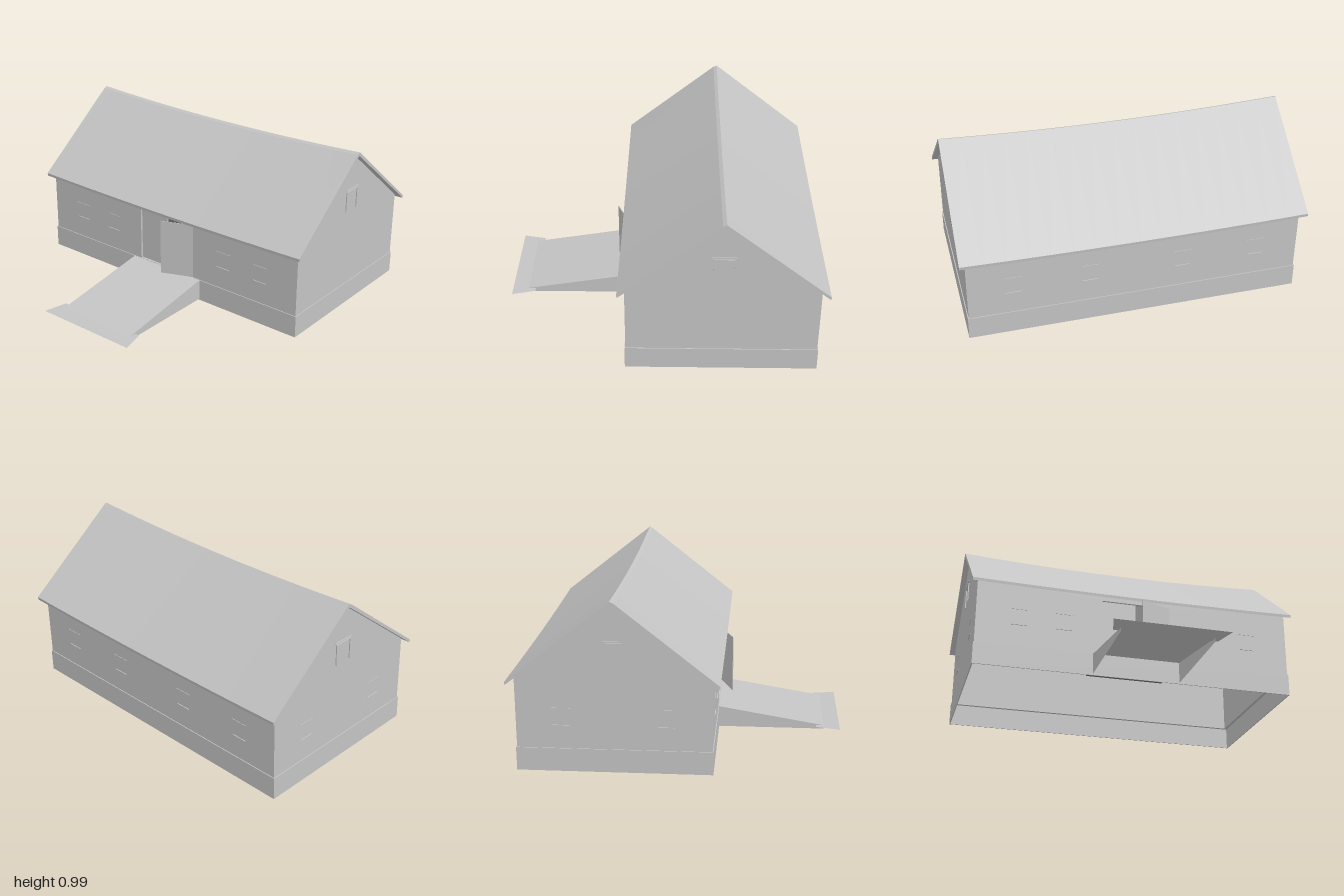
import * as THREE from 'three';
import { toCreasedNormals } from 'three/addons/utils/BufferGeometryUtils.js';

const HALF_X = 0.966, HALF_Z = 0.541, MID_Z = -0.346; // wall footprint
const BASE_Y = 0.135, EAVE_Y = 0.537, WALL = 0.02;

export function createModel() {
  const model = new THREE.Group();
  model.name = 'farmhouse';
  const grey = new THREE.MeshStandardMaterial({ color: 0xc4c4c4, side: THREE.DoubleSide });
  grey.name = 'light grey';
  const dark = new THREE.MeshStandardMaterial({ color: 0x787878, side: THREE.DoubleSide });
  dark.name = 'dark grey';

  function add(geometry, name, parent = model, material = grey) {
    const mesh = new THREE.Mesh(geometry, material);
    mesh.name = name;
    parent.add(mesh);
    return mesh;
  }

  function box(name, w, h, d, x, y, z, parent = model, material = grey) {
    const mesh = add(new THREE.BoxGeometry(w, h, d), name, parent, material);
    mesh.position.set(x, y, z);
    return mesh;
  }

  // Surface from quads or triangles of [x, y, z] corners
  function faces(list) {
    const pos = [];
    for (const f of list) {
      for (let i = 1; i < f.length - 1; i++) pos.push(...f[0], ...f[i], ...f[i + 1]);
    }
    const g = new THREE.BufferGeometry();
    g.setAttribute('position', new THREE.Float32BufferAttribute(pos, 3));
    g.computeVertexNormals();
    return g;
  }

  function outline(points) {
    return points.map(([x, y]) => new THREE.Vector2(x, y));
  }

  // Narrow window slot marked by a sill and a lintel; u runs along the wall
  function addSlot(wall, u) {
    box('windowSill', 0.092, 0.004, 0.005, u, 0.27, 0.0025, wall);
    box('windowLintel', 0.105, 0.003, 0.003, u, 0.37, 0.0015, wall);
  }

  // Attic window: two jambs, a head and a wider lintel above
  function addAtticWindow(wall) {
    for (const s of [-1, 1]) box('windowJamb', 0.005, 0.125, 0.006, s * 0.056, 0.6825, 0.003, wall);
    box('windowHead', 0.117, 0.005, 0.006, 0, 0.743, 0.003, wall);
    box('windowLintel', 0.135, 0.004, 0.006, 0, 0.757, 0.003, wall);
  }

  // Wall whose outer face lies on its group's local z = 0
  function addWall(name, points, hole, angle, x, z) {
    const wall = new THREE.Group();
    wall.name = name;
    const shape = new THREE.Shape(outline(points));
    if (hole) shape.holes.push(new THREE.Path(outline(hole)));
    const g = new THREE.ExtrudeGeometry(shape, { depth: WALL, bevelEnabled: false });
    g.translate(0, 0, -WALL);
    add(g, name + 'Panel', wall);
    wall.rotation.y = angle;
    wall.position.set(x, 0, z);
    model.add(wall);
    return wall;
  }

  // Long walls, the front one with the doorway
  const long = [[-HALF_X, BASE_Y], [HALF_X, BASE_Y], [HALF_X, EAVE_Y], [-HALF_X, EAVE_Y]];
  const doorway = [[-0.21, BASE_Y + 0.002], [-0.21, 0.49], [0.21, 0.49], [0.21, BASE_Y + 0.002]];
  const front = addWall('frontWall', long, doorway, 0, 0, MID_Z + HALF_Z);
  const back = addWall('backWall', long, null, Math.PI, 0, MID_Z - HALF_Z);
  for (const s of [-1, 1]) {
    for (const u of [0.71, 0.44]) addSlot(front, s * u);
    for (const u of [0.71, 0.27]) addSlot(back, s * u);
  }

  // Gable walls
  const gable = [[-HALF_Z, BASE_Y], [HALF_Z, BASE_Y], [HALF_Z, EAVE_Y], [0, 0.963], [-HALF_Z, EAVE_Y]];
  const left = addWall('leftGable', gable, null, Math.PI / 2, HALF_X, MID_Z);
  const right = addWall('rightGable', gable, null, -Math.PI / 2, -HALF_X, MID_Z);
  for (const wall of [left, right]) addAtticWindow(wall);
  for (const s of [-1, 1]) addSlot(right, s * 0.29);

  // Plinth, a thin open ring standing slightly proud of the walls
  for (const s of [-1, 1]) {
    box('plinthLong', 1.942, BASE_Y, 0.006, 0, BASE_Y / 2, MID_Z + s * 0.543);
    box('plinthEnd', 0.006, BASE_Y, 1.092, s * 0.968, BASE_Y / 2, MID_Z);
  }

  // Sagging roof: one chevron cross-section swept along x, [z, y, sag]
  const section = [
    [0.584, 0.526, 0.012], [0.017, 0.976, 0.028], [-0.004, 0.985, 0.028], [-0.584, 0.526, 0.012],
    [-0.582, 0.508, 0.012], [0, 0.965, 0.028], [0.582, 0.508, 0.012],
  ];
  const steps = 16, count = section.length;
  const ring = (i) => {
    const x = -1 + (2 * i) / steps;
    return section.map(([z, y, sag]) => [x, y - sag * (1 - x * x), MID_Z - 0.002 + z]);
  };
  const roof = [];
  for (let i = 0; i < steps; i++) {
    const a = ring(i), b = ring(i + 1);
    for (let j = 0; j < count; j++) {
      const k = (j + 1) % count;
      roof.push([a[j], b[j], b[k], a[k]]);
    }
  }
  const e0 = ring(0), e1 = ring(steps);
  for (const cap of [[0, 1, 5, 6], [1, 2, 5], [2, 3, 4, 5]]) {
    roof.push(cap.map((i) => e0[i]), cap.map((i) => e1[i]).reverse());
  }
  add(toCreasedNormals(faces(roof), 0.15), 'roof');

  // Dark entrance block behind the doorway
  box('entranceBlock', 0.48, 0.418, 0.254, 0, 0.315, 0.046, model, dark);

  // Closed door leaf on the -x half of the doorway
  box('closedDoorLeaf', 0.21, 0.352, 0.009, -0.105, 0.314, 0.1785);

  // Thin open door leaf, hinged at its +x edge
  const hinge = new THREE.Group();
  hinge.name = 'openDoor';
  hinge.position.set(0.212, 0, 0.198);
  hinge.rotation.y = 0.38;
  box('openDoorLeaf', 0.207, 0.35, 0.004, -0.1035, 0.313, -0.002, hinge);
  model.add(hinge);

  // Ramp: sloping top with wedge sides, open underneath
  const W = 0.265, Z0 = 0.197, Z1 = 0.838, FOOT = 0.006, TOE = 0.028;
  const wedge = (x) => [[x, FOOT, Z0], [x, BASE_Y, Z0], [x, TOE, Z1], [x, FOOT, Z1]];
  add(faces([
    [[-W, TOE, Z1], [W, TOE, Z1], [W, BASE_Y, Z0], [-W, BASE_Y, Z0]],
    wedge(W).reverse(),
    wedge(-W),
  ]), 'ramp');

  // Flat apron at the foot of the ramp
  add(faces([[[-0.33, 0.027, 0.932], [0.33, 0.027, 0.932], [0.297, 0.029, 0.79], [-0.297, 0.029, 0.79]]]), 'rampApron');

  return model;
}
